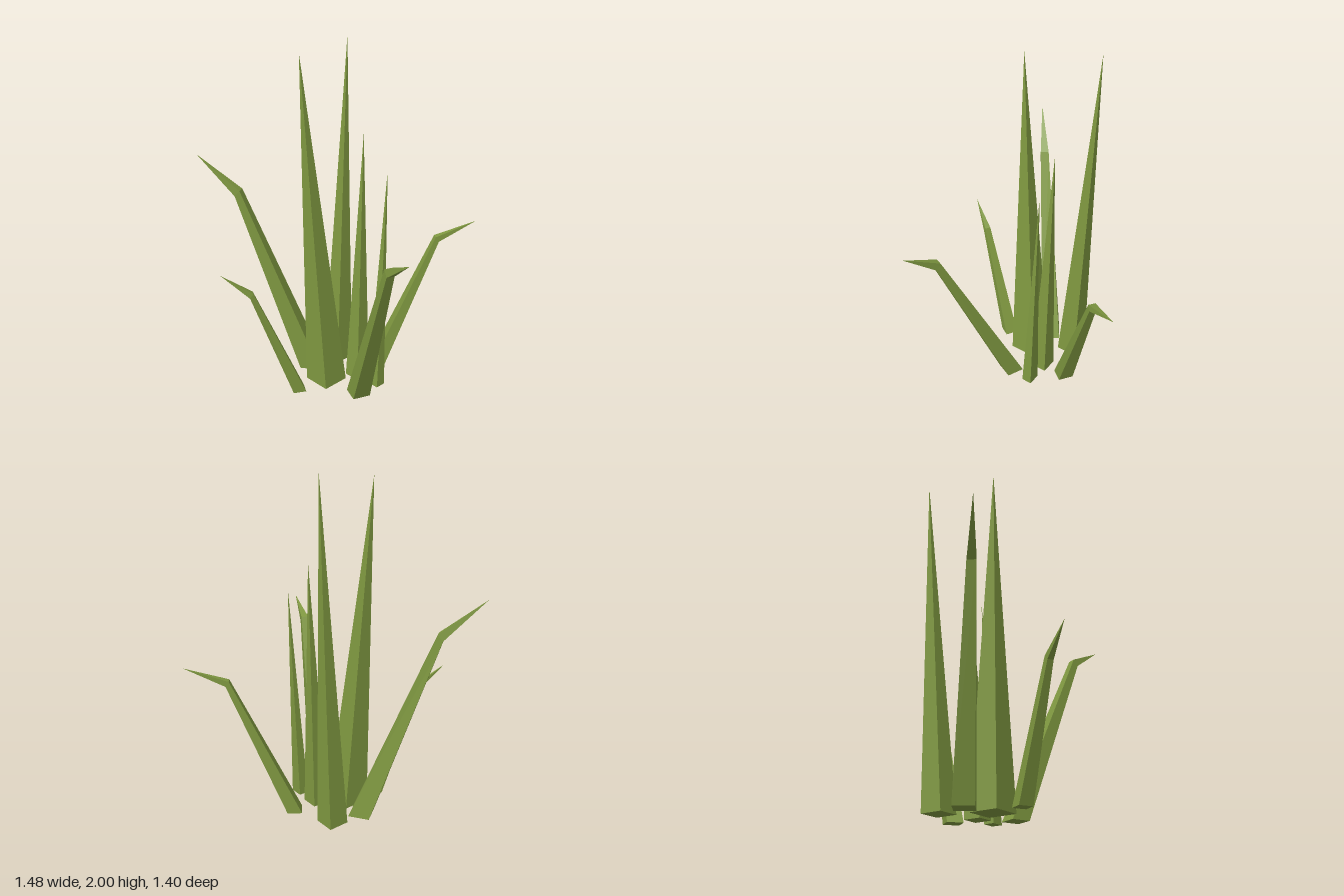
import * as THREE from 'three';

// Flat-faced blade: four-cornered rings (counter-clockwise from above) closing in a point
function bladeGeometry(rings, tip) {
  const pos = [];
  const tri = (a, b, c) => pos.push(...a, ...b, ...c);
  const [a, b, c, d] = rings[0];
  tri(a, c, b);
  tri(a, d, c);
  rings.forEach((ring, r) => {
    const next = rings[r + 1];
    for (let i = 0; i < 4; i++) {
      const j = (i + 1) % 4;
      if (next) {
        tri(ring[i], ring[j], next[j]);
        tri(ring[i], next[j], next[i]);
      } else tri(ring[i], ring[j], tip);
    }
  });
  const g = new THREE.BufferGeometry();
  g.setAttribute('position', new THREE.Float32BufferAttribute(pos, 3));
  g.computeVertexNormals();
  return g;
}

// Ring from its inner and outer edge centres, widened by the side vector
function bladeRing([ix, iy, iz], [ox, oy, oz], sx, sz) {
  return [
    [ix - sx, iy, iz - sz], [ix + sx, iy, iz + sz],
    [ox + sx, oy, oz + sz], [ox - sx, oy, oz - sz],
  ];
}

export function createModel() {
  const group = new THREE.Group();
  group.name = 'grassTuft';
  const grass = new THREE.MeshStandardMaterial({ color: 0x7f9840, flatShading: true });
  grass.name = 'grass green';

  const add = (name, geometry) => {
    const mesh = new THREE.Mesh(geometry, grass);
    mesh.name = name;
    group.add(mesh);
  };

  // Upright spikes: base x range, base z range, tip
  const spikes = [
    ['frontSpike', [-0.16, 0.01], [0.045, 0.21], [-0.16, 1.95, 0.21]],
    ['tallBackSpike', [-0.275, -0.15], [-0.165, -0.04], [-0.24, 2, -0.218]],
    ['middleSpike', [-0.025, 0.075], [-0.09, -0.01 + 0.02], [0.005, 1.5, -0.102]],
    ['smallSpike', [0.135, 0.212], [-0.08, 0 - 0.018], [0.171, 1.32, -0.12]],
  ];
  for (const [name, [x0, x1], [z0, z1], tip] of spikes) {
    const base = [[x0, 0, z0], [x0, 0, z1], [x1, 0, z1], [x1, 0, z0]];
    add(name, bladeGeometry([base], tip));
  }

  // Bent blades: inner and outer edge at the base, then at the bend, half widths, tip
  const bent = [
    ['backBentBlade', [0, 0, -0.165], [0.05, 0, -0.235],
      [0.225, 0.845, -0.493], [0.237, 0.815, -0.508], 0.045, 0.02, [0.365, 0.925, -0.7]],
    ['leftBentBlade', [0.122, 0, 0.078], [0.218, 0, 0.118],
      [0.545, 0.988, 0.273], [0.57, 0.952, 0.284], 0.052, 0.022, [0.735, 1.08, 0.34]],
    ['rightBentBlade', [-0.198, 0, 0.05], [-0.302, 0, 0.12],
      [-0.545, 1.15, 0.345], [-0.57, 1.117, 0.363], 0.056, 0.025, [-0.74, 1.355, 0.5]],
    ['frontBentBlade', [-0.088, 0, 0.29], [-0.125, 0, 0.355],
      [-0.2, 0.685, 0.55], [-0.207, 0.66, 0.569], 0.038, 0.017, [-0.283, 0.81, 0.7]],
  ];
  for (const [name, baseIn, baseOut, bendIn, bendOut, w0, w1, tip] of bent) {
    const dx = baseOut[0] - baseIn[0], dz = baseOut[2] - baseIn[2];
    const len = Math.hypot(dx, dz);
    const sx = -dz / len, sz = dx / len;
    add(name, bladeGeometry([
      bladeRing(baseIn, baseOut, sx * w0, sz * w0),
      bladeRing(bendIn, bendOut, sx * w1, sz * w1),
    ], tip));
  }
  return group;
}
